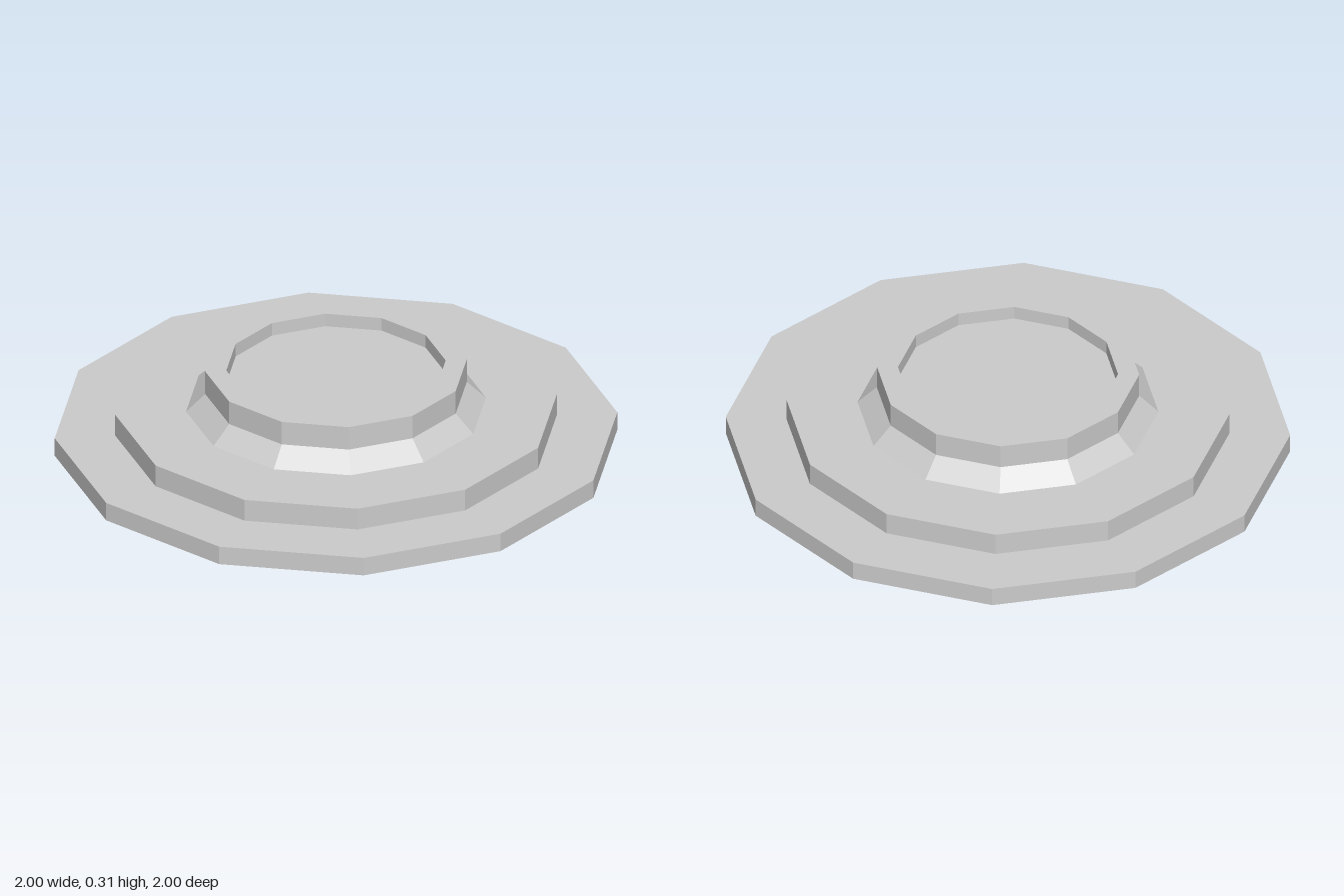
import * as THREE from 'three';

const SIDES = 12;

export function createModel() {
  const group = new THREE.Group();
  group.name = 'steppedBase';
  const material = new THREE.MeshStandardMaterial({
    color: 0xcccccc, flatShading: true, side: THREE.DoubleSide,
  });

  // Each part is a thin twelve-sided shell turned from [radius, height] pairs
  const addRing = (name, profile) => {
    const points = profile.map(([r, y]) => new THREE.Vector2(r, y));
    const mesh = new THREE.Mesh(new THREE.LatheGeometry(points, SIDES), material);
    mesh.name = name;
    group.add(mesh);
  };

  // Wide bottom flange, open underneath
  addRing('bottomFlange', [[0.785, 0], [1, 0], [1, 0.07], [0.785, 0.07]]);
  // Second step
  addRing('middleStep', [[0.785, 0.07], [0.785, 0.153], [0.533, 0.153]]);
  // Sloping shoulder below the collar
  addRing('shoulder', [[0.533, 0.153], [0.465, 0.22]]);
  // Upright collar with a flat rim and a shallow inner wall
  addRing('collar', [[0.465, 0.22], [0.465, 0.31], [0.39, 0.31], [0.39, 0.26]]);

  // Recessed floor inside the collar, corners aligned with the rings
  const floor = new THREE.Mesh(new THREE.CircleGeometry(0.39, SIDES), material);
  floor.name = 'recessedFloor';
  floor.rotation.x = -Math.PI / 2;
  floor.position.y = 0.26;
  group.add(floor);

  return group;
}
